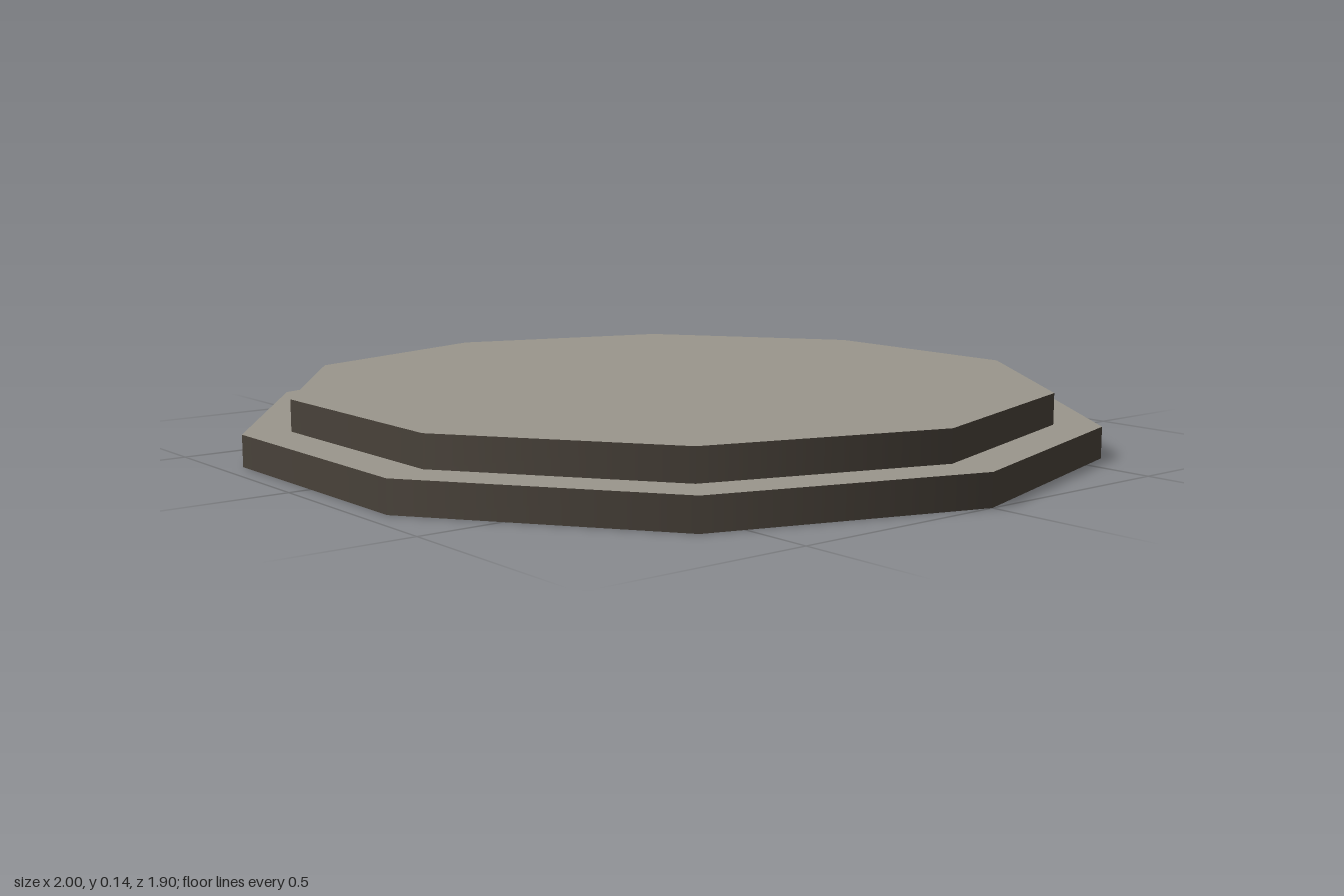
import * as THREE from 'three';

export function createModel() {
  const group = new THREE.Group();
  group.name = 'steppedPlatform';

  const sideStone = new THREE.MeshStandardMaterial({ color: 0x49423a, side: THREE.DoubleSide });
  sideStone.name = 'darkBrownStone';
  const faceStone = new THREE.MeshStandardMaterial({ color: 0x9a968c, side: THREE.DoubleSide });
  faceStone.name = 'greyStone';

  // One ten-sided step, hollow and open underneath, with a corner on the +x axis
  function step(name, radius, bottom, top) {
    const wall = new THREE.Mesh(
      new THREE.CylinderGeometry(radius, radius, top - bottom, 10, 1, true, Math.PI / 2),
      sideStone
    );
    wall.name = name + 'Wall';
    wall.position.y = (bottom + top) / 2;

    const face = new THREE.Mesh(new THREE.CircleGeometry(radius, 10), faceStone);
    face.name = name + 'Top';
    face.rotation.x = -Math.PI / 2;
    face.position.y = top;

    group.add(wall, face);
  }

  step('lowerStep', 1, 0, 0.072);
  step('upperStep', 0.893, 0.072, 0.144);

  return group;
}
